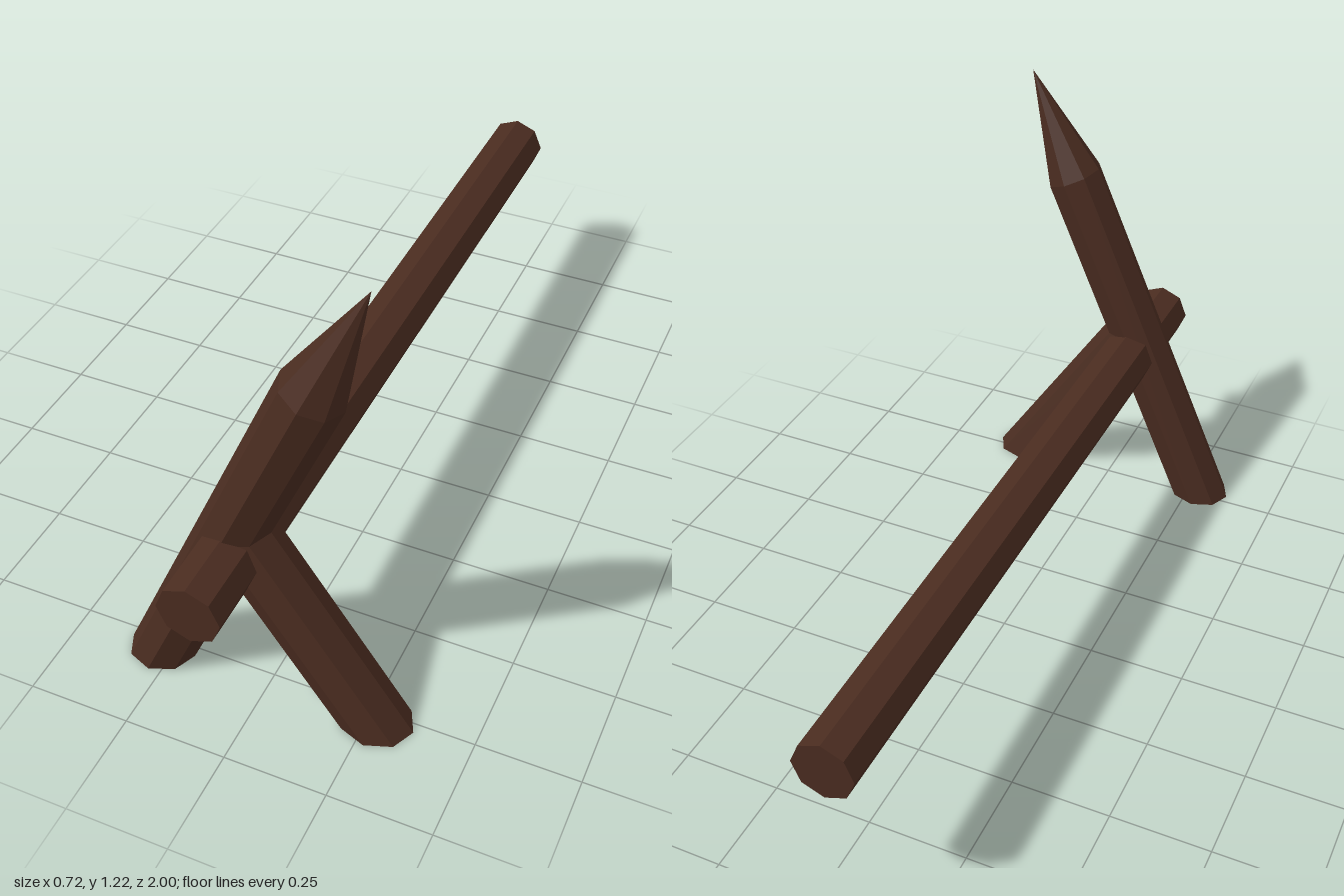
import * as THREE from 'three';

const SIDES = 8;
const RADIUS = 0.0757;

export function createModel() {
  const model = new THREE.Group();
  model.name = 'stakeBarrier';
  const wood = new THREE.MeshStandardMaterial({ color: 0x4a2c20, flatShading: true });

  const addMesh = (parent, name, geometry) => {
    const mesh = new THREE.Mesh(geometry, wood);
    mesh.name = name;
    parent.add(mesh);
    return mesh;
  };

  // A log leaning in the x-y plane, its foot sawn level with the ground
  function leaningLog(name, footX, topX, topY, z) {
    const lean = Math.atan2(topX - footX, topY);
    const length = Math.hypot(topX - footX, topY);
    const geometry = new THREE.CylinderGeometry(RADIUS, RADIUS, length, SIDES);
    geometry.translate(0, length / 2, 0);
    const p = geometry.attributes.position;
    for (let i = 0; i < p.count; i++) {
      if (p.getY(i) < length / 2) p.setY(i, p.getX(i) * Math.tan(lean));
    }
    const group = new THREE.Group();
    group.name = name;
    group.position.set(footX, 0, z);
    group.rotation.z = -lean;
    addMesh(group, name + 'Log', geometry);
    model.add(group);
    return { group, length };
  }

  // Sharpened stake
  const stake = leaningLog('stake', -0.281, 0.145, 0.94, 0.774);
  const tipLength = 0.308;
  const tip = new THREE.ConeGeometry(RADIUS, tipLength, SIDES, 1, true);
  tip.translate(0, stake.length + tipLength / 2, 0);
  addMesh(stake.group, 'stakePoint', tip);

  // Brace, ending inside the stake
  leaningLog('brace', 0.27, -0.055, 0.498, 0.774);

  // Long horizontal rail
  const rail = new THREE.CylinderGeometry(RADIUS, RADIUS, 2, SIDES);
  rail.rotateX(Math.PI / 2);
  addMesh(model, 'rail', rail).position.set(-0.052, 0.44, 0);

  return model;
}
